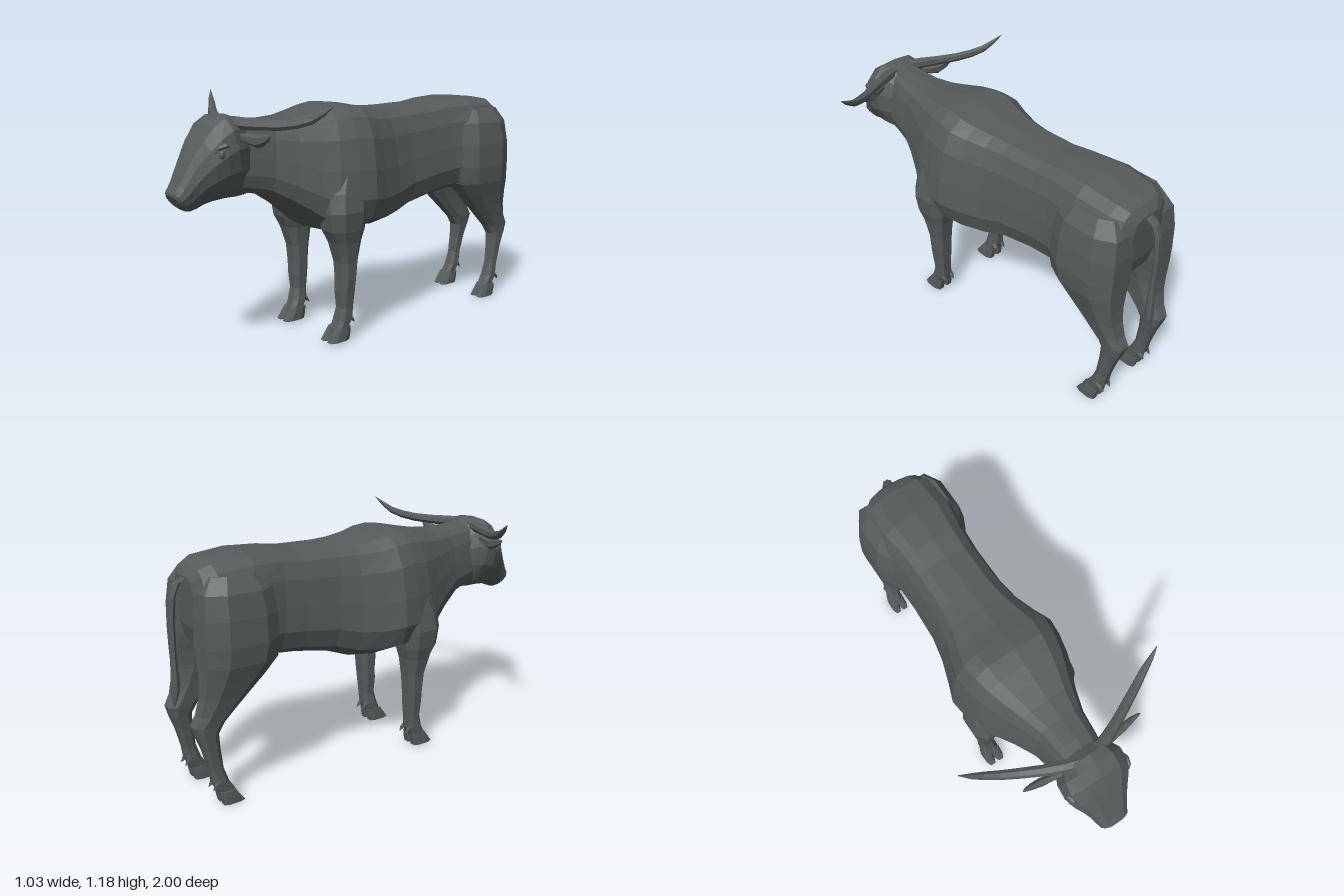
import * as THREE from 'three';

const hide = new THREE.MeshStandardMaterial({ color: 0x565b5b, flatShading: true });
hide.name = 'dark grey hide';

// Skin closed rings of equal point count, cap both ends, and face outward
function loft(name, rings) {
  const n = rings[0].length, pos = [], idx = [];
  rings.forEach(r => r.forEach(p => pos.push(...p)));
  for (let i = 0; i < rings.length - 1; i++) {
    for (let j = 0; j < n; j++) {
      const a = i * n + j, b = i * n + (j + 1) % n;
      idx.push(a, b, b + n, a, b + n, a + n);
    }
  }
  const last = (rings.length - 1) * n;
  for (let j = 1; j < n - 1; j++) {
    idx.push(0, j + 1, j, last, last + j, last + j + 1);
  }
  // signed volume decides the winding
  let vol = 0;
  const v = k => new THREE.Vector3(pos[3 * k], pos[3 * k + 1], pos[3 * k + 2]);
  for (let i = 0; i < idx.length; i += 3) vol += v(idx[i]).dot(v(idx[i + 1]).cross(v(idx[i + 2])));
  if (vol < 0) idx.reverse();
  const g = new THREE.BufferGeometry();
  g.setAttribute('position', new THREE.Float32BufferAttribute(pos, 3));
  g.setIndex(idx);
  const flat = g.toNonIndexed();
  flat.computeVertexNormals();
  const mesh = new THREE.Mesh(flat, hide);
  mesh.name = name;
  return mesh;
}

// Upright symmetric section; half = [u across, v up] from top centre to bottom centre
function section([zTop, yTop, zBot, yBot, w], half) {
  const at = (u, v) => [u * w, yBot + (yTop - yBot) * v, zBot + (zTop - zBot) * v];
  const right = half.map(([u, v]) => at(u, v));
  const left = half.slice(1, -1).reverse().map(([u, v]) => at(-u, v));
  return [...right, ...left];
}

// Level eight-sided leg section: [y, zFront, zBack, xInner, xOuter]
function legRing([y, zf, zb, xi, xo], s) {
  const cx = (xi + xo) / 2, cz = (zf + zb) / 2, rx = (xo - xi) / 2, rz = (zf - zb) / 2;
  return [[1, .5], [.55, 1], [-.55, 1], [-1, .5], [-1, -.5], [-.55, -1], [.55, -1], [1, -.5]]
    .map(([a, b]) => [s * (cx + a * rx), y, cz + b * rz]);
}

// Tapered tube: stations [x, y, z, rA, rB] with section axes A and B
function taper(name, stations, A, B, n = 6) {
  return loft(name, stations.map(([x, y, z, ra, rb = ra]) =>
    Array.from({ length: n }, (_, k) => {
      const t = k / n * Math.PI * 2, c = Math.cos(t) * ra, d = Math.sin(t) * rb;
      return [x + A[0] * c + B[0] * d, y + A[1] * c + B[1] * d, z + A[2] * c + B[2] * d];
    })));
}

const X = [1, 0, 0], Y = [0, 1, 0], Z = [0, 0, 1];

function addLeg(group, name, s, rings, hoof) {
  const leg = new THREE.Group();
  leg.name = name;
  leg.add(loft('limb', rings.map(r => legRing(r, s))));
  // cloven hoof: two toes, then two dewclaws behind the fetlock
  const { x, zf, zb, w, y } = hoof;
  for (const t of [-1, 1]) {
    const xa = x + t * w * .5, h = w * .49;
    leg.add(loft('toe', [
      legRing([y, zf, zb, xa - h, xa + h], s),
      legRing([y + .035, zf - .025, zb - .008, xa - h * .95, xa + h * .95], s),
      legRing([y + .065, zf - .045, zb - .012, xa - h * .8, xa + h * .8], s),
    ]));
    leg.add(taper('dewclaw', [
      [s * (x + t * .022), .12, zb - .01, .016],
      [s * (x + t * .024), .10, zb - .035, .011],
      [s * (x + t * .024), .085, zb - .045, .003],
    ], X, Y, 5));
  }
  group.add(leg);
}

export function createModel() {
  const model = new THREE.Group();
  model.name = 'ox';

  // Trunk and neck, rump to throat
  const trunkHalf = [[0, 1], [.5, .985], [.72, .91], [.87, .75], [.96, .5], [1, .27], [.87, .1], [.5, .015], [0, 0]];
  const trunk = [
    [-.915, 1.045, -.91, .82, .10], [-.885, 1.085, -.89, .74, .175], [-.83, 1.11, -.83, .69, .22],
    [-.66, 1.127, -.68, .65, .235], [-.50, 1.12, -.55, .635, .205], [-.40, 1.105, -.42, .62, .2],
    [-.20, 1.10, -.25, .585, .205], [-.10, 1.103, -.13, .54, .225], [0, 1.112, 0, .527, .265],
    [.08, 1.128, .09, .54, .298], [.16, 1.138, .19, .54, .287], [.24, 1.127, .30, .545, .265],
    [.33, 1.107, .36, .595, .225], [.42, 1.09, .45, .665, .182], [.52, 1.085, .56, .735, .14],
    [.63, 1.09, .63, .755, .125], [.74, 1.09, .70, .765, .11],
  ];
  model.add(loft('trunk', trunk.map(r => section(r, trunkHalf))));

  // Head, poll to muzzle
  const headHalf = [[0, 1], [.55, .98], [.88, .84], [1, .62], [.9, .36], [.6, .1], [.3, 0], [0, 0]];
  const head = [
    [.675, 1.09, .615, .775, .105], [.72, 1.117, .65, .755, .135], [.77, 1.117, .70, .752, .163],
    [.825, 1.08, .76, .752, .167], [.87, 1.02, .82, .745, .146], [.905, .965, .86, .733, .118],
    [.945, .895, .89, .718, .095], [.975, .835, .915, .71, .082],
    [.998, .80, .94, .712, .072], [1, .785, .965, .728, .055],
  ];
  model.add(loft('head', head.map(r => section(r, headHalf))));

  // Tail
  model.add(taper('tail', [
    [0, 1.045, -.89, .022], [0, 1.02, -.945, .022], [0, .96, -.97, .018], [0, .85, -.98, .015],
    [0, .68, -.982, .015], [0, .56, -.984, .021], [0, .51, -.987, .018], [0, .455, -.996, .003],
  ], X, [0, .35, .94]));

  const fore = [
    [.86, .28, .06, .08, .255], [.74, .32, .10, .09, .28], [.65, .33, .115, .10, .296],
    [.56, .315, .125, .125, .286], [.50, .285, .14, .14, .27], [.40, .255, .155, .148, .256],
    [.31, .248, .162, .15, .252], [.25, .25, .165, .152, .244], [.17, .243, .172, .157, .236],
    [.11, .258, .175, .15, .236], [.07, .275, .195, .148, .235], [.04, .28, .21, .15, .23],
  ];
  const hind = [
    [1.06, -.62, -.86, .05, .19], [.99, -.575, -.905, .03, .232], [.88, -.56, -.918, .03, .25],
    [.76, -.555, -.92, .03, .255], [.67, -.575, -.92, .055, .246], [.60, -.635, -.922, .075, .226],
    [.52, -.715, -.93, .085, .206], [.45, -.785, -.95, .09, .192], [.40, -.835, -.978, .092, .184],
    [.35, -.865, -.965, .1, .18], [.28, -.862, -.94, .108, .177], [.18, -.852, -.915, .114, .175],
    [.11, -.83, -.905, .11, .18], [.07, -.805, -.885, .112, .18], [.04, -.79, -.87, .115, .178],
  ];

  for (const s of [1, -1]) {
    const side = s > 0 ? 'left' : 'right';
    addLeg(model, side + 'FrontLeg', s, fore, { x: .19, zf: .318, zb: .205, w: .052, y: .01 });
    addLeg(model, side + 'HindLeg', s, hind, { x: .148, zf: -.762, zb: -.868, w: .045, y: 0 });

    // Long horn sweeping out, back and up
    model.add(taper(side + 'Horn', [
      [.06, 1.082, .715, .031], [.12, 1.082, .695, .029], [.2, 1.081, .66, .025], [.29, 1.084, .615, .023],
      [.36, 1.094, .58, .021], [.42, 1.113, .548, .018], [.47, 1.143, .525, .012], [.512, 1.177, .503, .002],
    ].map(([x, ...r]) => [s * x, ...r]), [-.25 * s, .97, 0], [.42 * s, 0, .9], 7));

    // Leaf-shaped ear
    model.add(taper(side + 'Ear', [
      [.13, 1.028, .71, .016, .014], [.175, 1.02, .698, .024, .018], [.22, 1.016, .69, .03, .02],
      [.265, 1.025, .685, .025, .015], [.295, 1.036, .684, .015, .009], [.31, 1.045, .685, .003, .003],
    ].map(([x, ...r]) => [s * x, ...r]), Y, Z));

    // Eye with a brow above it
    const eye = new THREE.Mesh(new THREE.SphereGeometry(.024, 8, 6), hide);
    eye.name = side + 'Eye';
    eye.scale.set(.55, .85, 1);
    eye.position.set(s * .15, .962, .815);
    eye.rotation.y = s * .35;
    model.add(eye);
    model.add(taper(side + 'Brow', [
      [s * .152, .99, .775, .006], [s * .153, 1.0, .805, .012], [s * .146, .99, .838, .01], [s * .138, .968, .85, .004],
    ], X, Y, 5));

    // Nostril rim
    const nostril = new THREE.Mesh(new THREE.TorusGeometry(.013, .004, 4, 8), hide);
    nostril.name = side + 'Nostril';
    nostril.position.set(s * .05, .79, .985);
    nostril.rotation.y = s * .8;
    model.add(nostril);
  }
  return model;
}
